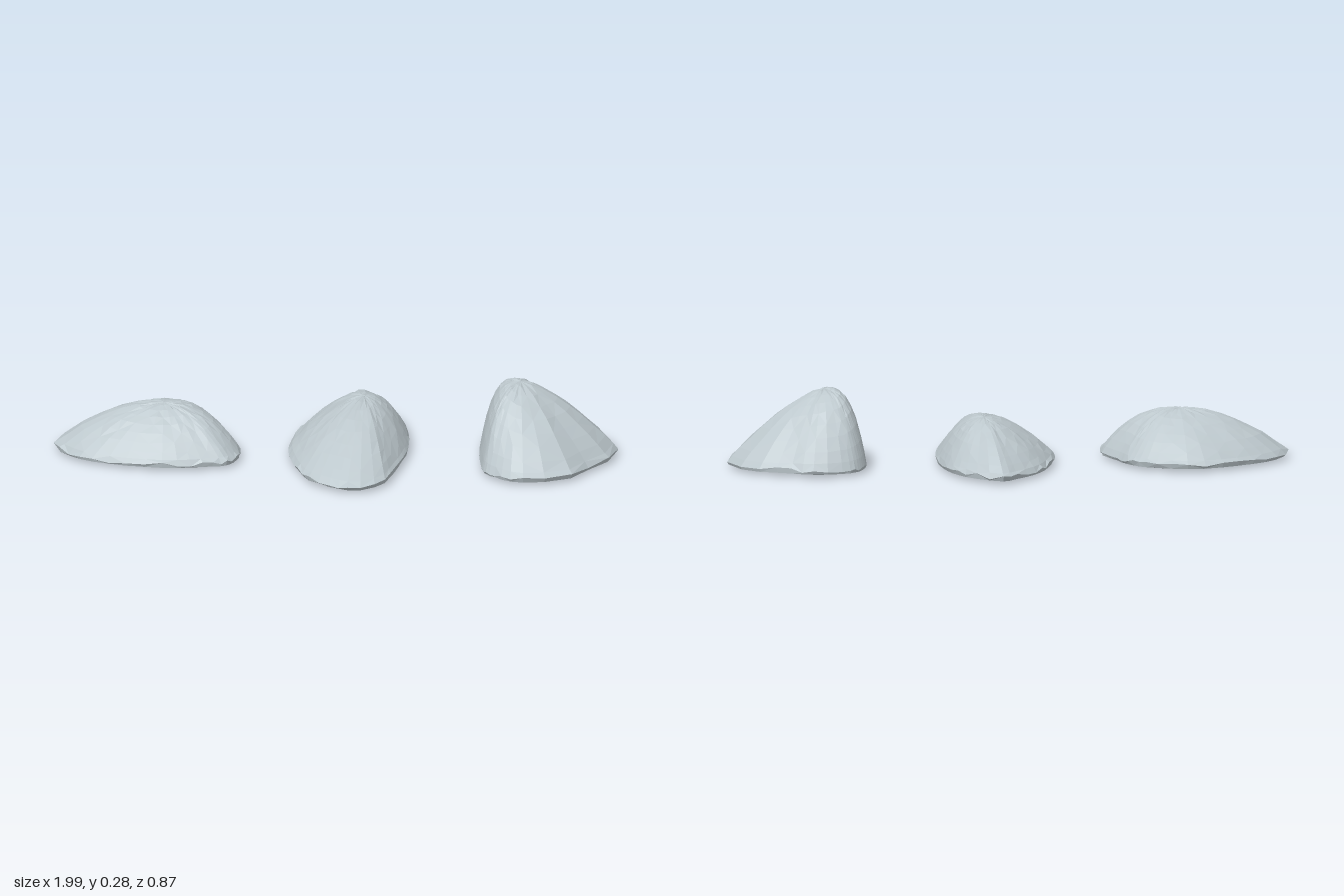
import * as THREE from 'three';

const SEGMENTS = 40;
const RIM_Y = 0.024;

// Each rock: peak [x, y, z] and plan outline points [x, z, steepness],
// running left, back, right, front. Higher steepness gives a fuller side.
const ROCKS = [
  {
    name: 'broadRock', peak: [-0.61, 0.184, 0.03],
    outline: [
      [-1, 0.04, 2], [-0.96, -0.07, 2], [-0.81, -0.19, 1.9], [-0.66, -0.245, 1.9],
      [-0.505, -0.21, 2], [-0.425, -0.15, 2.2], [-0.38, -0.05, 2.5], [-0.34, 0.04, 2.5],
      [-0.36, 0.18, 2.2], [-0.425, 0.21, 2], [-0.61, 0.235, 1.8], [-0.8, 0.205, 1.8],
      [-0.92, 0.15, 1.9],
    ],
  },
  {
    name: 'longRock', peak: [0.09, 0.181, -0.09],
    outline: [
      [-0.17, 0, 1.6], [-0.14, -0.16, 1.6], [-0.09, -0.29, 1.7], [-0.01, -0.39, 1.7],
      [0.05, -0.44, 1.8], [0.15, -0.36, 1.8], [0.215, -0.265, 1.9], [0.25, -0.1, 2],
      [0.25, 0.06, 2], [0.215, 0.245, 2], [0.18, 0.365, 2], [0.09, 0.43, 2],
      [0.01, 0.4, 1.9], [-0.09, 0.32, 1.8], [-0.15, 0.16, 1.7],
    ],
  },
  {
    name: 'tallRock', peak: [0.65, 0.277, -0.01],
    outline: [
      [0.505, -0.05, 3.4], [0.515, -0.16, 2.9], [0.59, -0.245, 2.2], [0.69, -0.26, 2],
      [0.805, -0.215, 1.7], [0.93, -0.16, 1.5], [0.99, -0.065, 1.45], [0.98, 0.055, 1.45],
      [0.91, 0.15, 1.45], [0.85, 0.255, 1.5], [0.7, 0.31, 1.6], [0.565, 0.255, 2],
      [0.515, 0.135, 2.8],
    ],
  },
];

// Small seeded noise in the range -1..1
function makeNoise(seed) {
  let state = seed;
  return () => {
    state = (state * 16807) % 2147483647;
    return (state / 2147483647) * 2 - 1;
  };
}

function rockGeometry({ peak, outline }, seed) {
  const noise = makeNoise(seed);
  const [px, py, pz] = peak;
  const curve = new THREE.CatmullRomCurve3(
    outline.map(([x, z, steep]) => new THREE.Vector3(x, steep, z)), true, 'centripetal');
  const edge = curve.getSpacedPoints(SEGMENTS).slice(0, SEGMENTS);

  // Rings run from the peak down to the rim
  const rings = [0, 0.12, 0.25, 0.38, 0.51, 0.64, 0.76, 0.87, 0.95, 1].map((s) =>
    edge.map((e) => {
      const rough = s > 0 && s < 0.95 ? 0.0025 * noise() : 0;
      const y = RIM_Y + (py - RIM_Y) * (1 - Math.pow(s, e.y)) + rough;
      const chip = s === 1 ? 0.008 * noise() : 0;
      return [px + (e.x - px) * s, y + chip, pz + (e.z - pz) * s];
    }));

  // Chipped lower edge, then a nearly flat underside
  [[0.98, 0.011, 0.012], [0.9, 0.007, 0], [0.5, 0.003, 0], [0, 0, 0]].forEach(([s, y, rough]) => {
    rings.push(edge.map((e) => {
      const t = s + rough * noise();
      return [px + (e.x - px) * t, y, pz + (e.z - pz) * t];
    }));
  });

  // Separate triangles keep the facets crisp
  const positions = [];
  const last = rings.length - 2;
  for (let r = 0; r <= last; r++) {
    for (let i = 0; i < SEGMENTS; i++) {
      const j = (i + 1) % SEGMENTS;
      const a = rings[r][i], b = rings[r][j], c = rings[r + 1][i], d = rings[r + 1][j];
      if (r === 0) positions.push(...a, ...d, ...c);
      else if (r === last) positions.push(...a, ...b, ...c);
      else if ((r + i) % 2) positions.push(...a, ...b, ...d, ...a, ...d, ...c);
      else positions.push(...a, ...b, ...c, ...b, ...d, ...c);
    }
  }
  const geometry = new THREE.BufferGeometry();
  geometry.setAttribute('position', new THREE.Float32BufferAttribute(positions, 3));
  geometry.computeVertexNormals();
  return geometry;
}

export function createModel() {
  const group = new THREE.Group();
  group.name = 'rocks';
  const stone = new THREE.MeshStandardMaterial({ color: 0xbdc8cd });
  stone.name = 'paleStone';
  ROCKS.forEach((rock, index) => {
    const mesh = new THREE.Mesh(rockGeometry(rock, 101 + index * 977), stone);
    mesh.name = rock.name;
    group.add(mesh);
  });
  return group;
}
